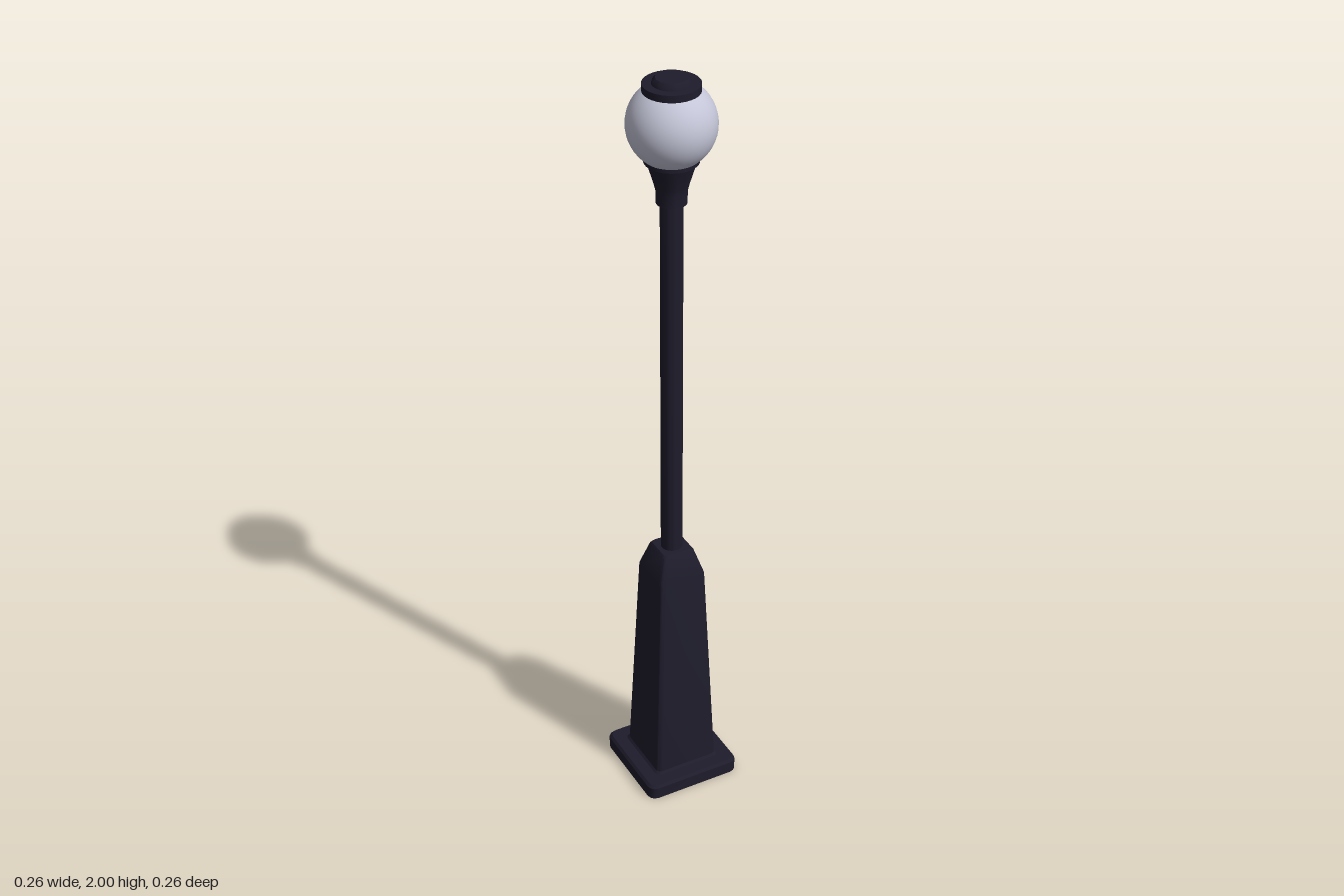
import * as THREE from 'three';
import { toCreasedNormals } from 'three/addons/utils/BufferGeometryUtils.js';

const dark = new THREE.MeshStandardMaterial({ color: 0x1e1c2b });
const glass = new THREE.MeshStandardMaterial({ color: 0xc4c6d8 });

// Solid lofted through rounded squares; each section is [y, halfWidth, cornerRadius]
function squareLoft(sections, steps = 3) {
  const positions = [], index = [], n = 4 * (steps + 1);
  for (const [y, half, r] of sections) {
    for (let c = 0; c < 4; c++) {
      const mid = Math.PI / 4 + c * Math.PI / 2;
      const cx = Math.sign(Math.cos(mid)) * (half - r);
      const cz = Math.sign(Math.sin(mid)) * (half - r);
      for (let s = 0; s <= steps; s++) {
        const a = (c + s / steps) * Math.PI / 2;
        positions.push(cx + r * Math.cos(a), y, cz + r * Math.sin(a));
      }
    }
  }
  for (let k = 0; k < sections.length - 1; k++) {
    for (let i = 0; i < n; i++) {
      const a = k * n + i, b = k * n + (i + 1) % n;
      index.push(a, a + n, b, b, a + n, b + n);
    }
  }
  // End caps
  const top = (sections.length - 1) * n;
  for (let i = 1; i < n - 1; i++) {
    index.push(0, i, i + 1, top, top + i + 1, top + i);
  }
  const g = new THREE.BufferGeometry();
  g.setAttribute('position', new THREE.Float32BufferAttribute(positions, 3));
  g.setIndex(index);
  return toCreasedNormals(g, 0.6);
}

// Turned part; each profile point is [radius, y], from bottom to top
function turned(profile, segments = 32) {
  const g = new THREE.LatheGeometry(profile.map(([r, y]) => new THREE.Vector2(r, y)), segments);
  return toCreasedNormals(g, 0.6);
}

export function createModel() {
  const model = new THREE.Group();
  model.name = 'streetLamp';
  const add = (name, geometry, material = dark) => {
    const mesh = new THREE.Mesh(geometry, material);
    mesh.name = name;
    model.add(mesh);
    return mesh;
  };

  // Square foot plate with a small bevel
  add('basePlate', squareLoft([
    [0, 0.13, 0.022], [0.033, 0.13, 0.022], [0.04, 0.124, 0.02],
  ]));

  // Tapered pedestal with a sloping shoulder
  add('pedestal', squareLoft([
    [0.038, 0.094, 0.014], [0.046, 0.087, 0.013], [0.64, 0.064, 0.012],
    [0.705, 0.044, 0.01], [0.712, 0.039, 0.01],
  ]));

  // Round pole
  add('pole', turned([[0.0275, 0.7], [0.0275, 1.7]]));

  // Collar and flared cup that carries the globe
  add('globeHolder', turned([
    [0, 1.688], [0.037, 1.688], [0.037, 1.718], [0.041, 1.735], [0.049, 1.762],
    [0.058, 1.79], [0.065, 1.793], [0.065, 1.806], [0, 1.806],
  ]));

  // Glass globe
  const globe = add('globe', new THREE.SphereGeometry(0.106, 40, 28), glass);
  globe.position.y = 1.886;

  // Stepped cap on top of the globe
  add('cap', turned([
    [0, 1.967], [0.068, 1.967], [0.068, 1.985], [0.046, 1.985],
    [0.044, 1.992], [0.037, 2], [0, 2],
  ]));

  return model;
}
